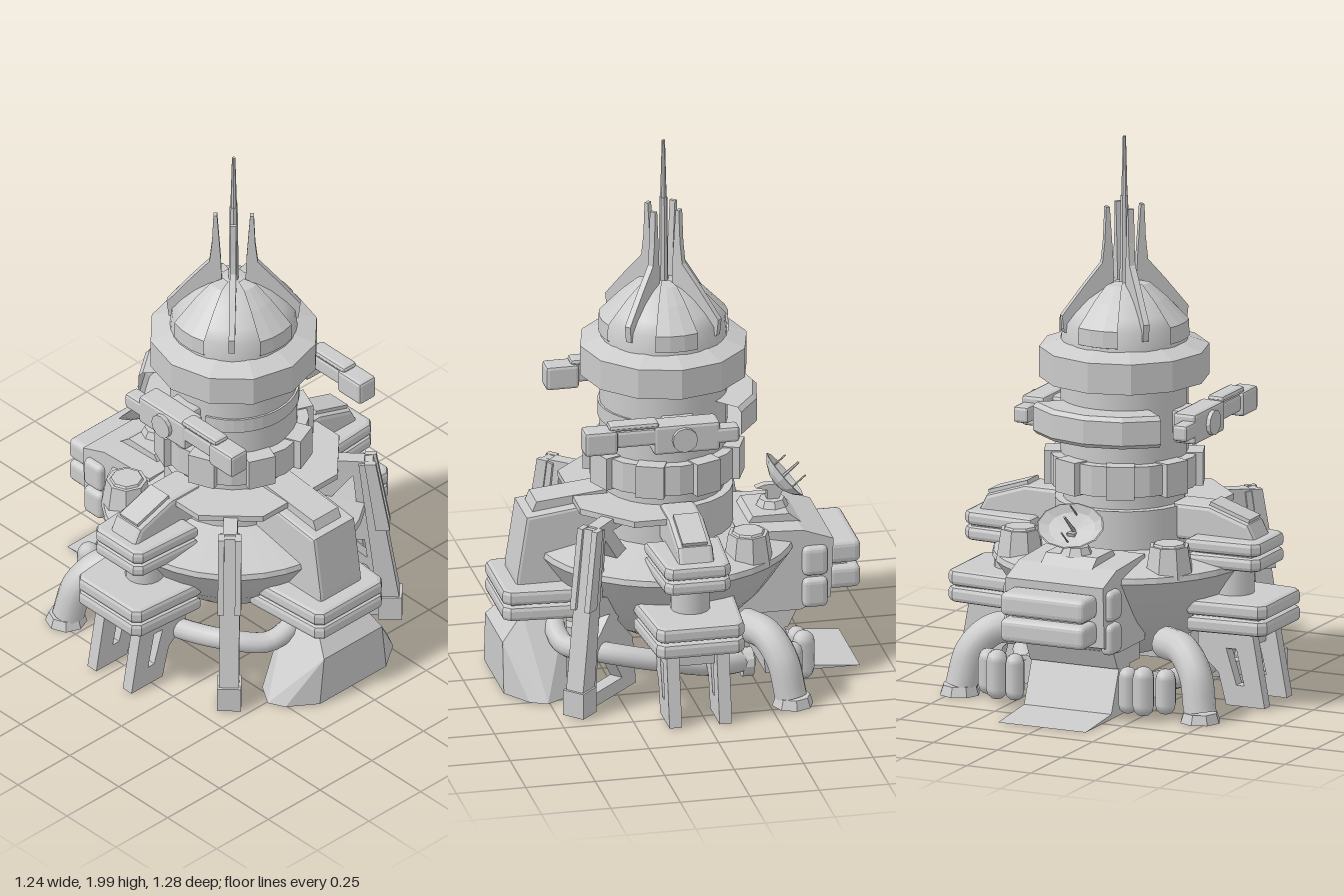
import * as THREE from 'three';
import { RoundedBoxGeometry } from 'three/addons/geometries/RoundedBoxGeometry.js';
import { ConvexGeometry } from 'three/addons/geometries/ConvexGeometry.js';

const flat = new THREE.MeshStandardMaterial({ color: 0xcccccc, flatShading: true, side: THREE.DoubleSide });
const smooth = new THREE.MeshStandardMaterial({ color: 0xcccccc, side: THREE.DoubleSide });
const AXIS_Z = 0.03;

function add(parent, name, geo, x = 0, y = 0, z = 0, mat = flat) {
  const m = new THREE.Mesh(geo, mat);
  m.name = name;
  m.position.set(x, y, z);
  parent.add(m);
  return m;
}
const box = (w, h, d) => new THREE.BoxGeometry(w, h, d);
const vecs = pts => pts.map(p => new THREE.Vector2(...p));
const lathe = (pts, n = 32, start = 0, len = Math.PI * 2) => new THREE.LatheGeometry(vecs(pts), n, start, len);

// Outline in the x-y plane, thickened evenly along z
function panel(pts, t, holes = [], bevel = 0) {
  const s = new THREE.Shape(vecs(pts));
  holes.forEach(h => s.holes.push(new THREE.Path(vecs(h))));
  const depth = t - 2 * bevel;
  return new THREE.ExtrudeGeometry(s, {
    depth, bevelEnabled: bevel > 0, bevelSize: bevel, bevelThickness: bevel, bevelOffset: -bevel, bevelSegments: 2,
  }).translate(0, 0, -depth / 2);
}

// Group whose +x points outward from the tower axis
function spoke(parent, name, angle) {
  const g = new THREE.Group();
  g.name = name;
  g.position.z = AXIS_Z;
  g.rotation.y = angle;
  parent.add(g);
  return g;
}

// Two stacked bevelled slabs with a tapering outline
function tray(parent, name, r0, r1, w, y0, y1) {
  const h = (y1 - y0) / 2, c = 0.025;
  const pts = [[r0, -w], [r1 - c, -w * 0.88], [r1, -w * 0.88 + c], [r1, w * 0.88 - c], [r1 - c, w * 0.88], [r0, w]];
  for (const i of [0, 1]) {
    const geo = panel(pts, h - 0.004, [], 0.016).rotateX(-Math.PI / 2);
    add(parent, name, geo, 0, y0 + h * (i + 0.5), 0);
  }
  add(parent, name + 'Seam', box(r1 - r0 - 0.06, 0.03, w * 1.55), (r0 + r1) / 2, (y0 + y1) / 2, 0);
}

function tube(parent, name, pts, r) {
  const curve = new THREE.CatmullRomCurve3(pts.map(p => new THREE.Vector3(...p)));
  add(parent, name, new THREE.TubeGeometry(curve, 28, r, 12), 0, 0, 0, smooth);
}

function buildTower(root) {
  const t = spoke(root, 'tower', 0);
  add(t, 'towerShaft', new THREE.CylinderGeometry(0.225, 0.225, 0.52, 28), 0, 1.01, 0, smooth);
  add(t, 'towerBase', new THREE.CylinderGeometry(0.215, 0.215, 0.07, 24), 0, 0.735, 0, smooth);
  add(t, 'towerPlinth', new THREE.CylinderGeometry(0.245, 0.245, 0.16, 24), 0, 0.62, 0, smooth);
  // Blocky lower ring
  add(t, 'lowerRing', new THREE.CylinderGeometry(0.265, 0.265, 0.11, 16), 0, 0.81, 0);
  for (let i = 0; i < 8; i++) {
    const a = (i + 0.5) * Math.PI / 4;
    add(t, 'ringBlock', box(0.1, 0.12, 0.06), Math.sin(a) * 0.25, 0.81, Math.cos(a) * 0.25).rotation.y = a;
  }
  // Twelve-sided upper collar
  add(t, 'upperCollar', lathe([[0.22, 1.12], [0.3, 1.135], [0.3, 1.245], [0.22, 1.275]], 12));
  add(t, 'frontBand', lathe([[0.22, 0.965], [0.232, 0.965], [0.232, 1.02], [0.22, 1.02]], 16, -1.2, 2.4));
  add(t, 'rearBand', lathe([[0.22, 0.945], [0.32, 0.945], [0.335, 0.96], [0.335, 1.045], [0.32, 1.06], [0.22, 1.06], [0.22, 0.945]], 4, Math.PI - 0.84, 1.68));
  // Dome with four raised petals
  const dome = [[0.225, 1.26], [0.218, 1.34], [0.185, 1.38], [0.135, 1.425], [0.085, 1.455], [0.045, 1.47], [0, 1.472]];
  add(t, 'dome', lathe(dome, 32), 0, 0, 0, smooth);
  const petal = [[0.215, 1.28], [0.23, 1.285], [0.228, 1.345], [0.15, 1.425], [0.09, 1.475], [0.04, 1.482]];
  for (let i = 0; i < 4; i++) {
    add(t, 'domePetal', lathe(petal, 3, i * Math.PI / 2 - 0.34, 0.68));
    // Diagonal fin ending in a spike
    const f = spoke(t, 'fin', Math.PI / 4 + i * Math.PI / 2);
    f.position.z = 0;
    add(f, 'finBlade', panel([[0.04, 1.42], [0.2, 1.3], [0.228, 1.31], [0.235, 1.37], [0.15, 1.475], [0.085, 1.55], [0.076, 1.63], [0.071, 1.75], [0.058, 1.75], [0.045, 1.56]], 0.022));
  }
  add(t, 'mast', new THREE.CylinderGeometry(0.014, 0.018, 0.33, 8), 0, 1.62, 0);
  add(t, 'mastTip', new THREE.CylinderGeometry(0.006, 0.012, 0.23, 8), 0, 1.885, 0);
  // Side guns
  for (const s of [1, -1]) {
    const g = new THREE.Group();
    g.name = 'sideGun';
    t.add(g);
    const part = (n, w, h, d, x, y, z) => add(g, n, new RoundedBoxGeometry(w, h, d, 1, 0.012), s * x, y, z);
    part('gunBody', 0.09, 0.11, 0.24, 0.295, 1.0, -0.01);
    part('gunBreech', 0.06, 0.06, 0.12, 0.31, 1.0, -0.14);
    part('gunBarrel', 0.055, 0.065, 0.16, 0.31, 1.015, 0.17);
    part('gunMuzzle', 0.08, 0.09, 0.12, 0.31, 1.01, 0.3);
    part('gunShroud', 0.065, 0.025, 0.18, 0.31, 1.06, 0.18);
    part('gunMount', 0.14, 0.09, 0.12, 0.25, 1.0, 0);
    add(g, 'gunPivot', new THREE.CylinderGeometry(0.045, 0.045, 0.05, 12).rotateZ(Math.PI / 2), s * 0.33, 1.0, 0);
  }
}

function buildHull(root) {
  const h = spoke(root, 'hull', 0);
  add(h, 'bowl', lathe([[0, 0.14], [0.12, 0.155], [0.25, 0.225], [0.35, 0.325], [0.42, 0.425], [0.465, 0.49]], 36), 0, 0, 0, smooth);
  add(h, 'deck', lathe([[0.465, 0.49], [0.46, 0.51], [0.22, 0.565]], 36));
  // Thin faceted plate joining the leg tops
  const plate = [[-0.34, 0.02], [-0.34, 0.18], [-0.18, 0.34], [0.18, 0.34], [0.34, 0.18], [0.34, 0.02]];
  add(h, 'topPlate', panel(plate, 0.022).rotateX(Math.PI / 2), 0, 0.69, 0);
  for (const s of [1, -1]) {
    add(h, 'deckVent', new THREE.CylinderGeometry(0.072, 0.09, 0.11, 8), s * 0.29, 0.55, -0.24);
    add(h, 'deckVentCap', new THREE.CylinderGeometry(0.055, 0.065, 0.015, 8), s * 0.29, 0.605, -0.24);
  }
}

function buildPods(root) {
  // Front pod
  const f = spoke(root, 'frontPod', -Math.PI / 2);
  tray(f, 'frontTray', 0.28, 0.61, 0.185, 0.28, 0.4);
  add(f, 'frontTower', panel([[0.2, 0.3], [0.555, 0.3], [0.55, 0.42], [0.515, 0.65], [0.2, 0.69]], 0.2, [], 0.012));
  add(f, 'frontCap', panel([[0.2, 0.66], [0.49, 0.64], [0.47, 0.69], [0.22, 0.715]], 0.12));
  const skirt = [];
  for (const s of [1, -1])
    skirt.push(...[[0.29, 0.015, 0.51], [0.26, 0.015, 0.57], [0.16, 0.015, 0.64], [0.24, 0.015, 0.43], [0.14, 0.2, 0.64], [0.1, 0.29, 0.56], [0.09, 0.29, 0.4]]
      .map(([x, y, z]) => new THREE.Vector3(s * x, y, z)));
  add(root, 'frontSkirt', new ConvexGeometry(skirt));
  // Side pods on twin struts
  for (const a of [0, Math.PI]) {
    const p = spoke(root, 'sidePod', a);
    tray(p, 'lowerTray', 0.33, 0.62, 0.18, 0.28, 0.4);
    tray(p, 'upperTray', 0.3, 0.575, 0.135, 0.5, 0.61);
    add(p, 'podColumn', new THREE.CylinderGeometry(0.07, 0.07, 0.14, 16), 0.43, 0.45, 0, smooth);
    add(p, 'podCap', panel([[0.22, 0.58], [0.55, 0.58], [0.51, 0.66], [0.36, 0.71], [0.22, 0.71]], 0.13, [], 0.015));
    add(p, 'podCapPanel', box(0.16, 0.02, 0.09), 0.43, 0.69, 0).rotation.z = -0.32;
    for (const z of [-0.09, 0.09])
      add(p, 'podStrut', panel([[0.34, 0.29], [0.55, 0.29], [0.6, 0.015], [0.45, 0.015], [0.42, 0.13], [0.34, 0.2]], 0.045,
        [[[0.45, 0.22], [0.49, 0.22], [0.52, 0.09], [0.49, 0.09]]]), 0, 0, z);
    add(p, 'strutBrace', box(0.16, 0.07, 0.2), 0.44, 0.25, 0);
  }
}

function buildLegs(root) {
  for (const a of [-Math.PI / 4, -3 * Math.PI / 4]) {
    const l = spoke(root, 'diagonalLeg', a);
    add(l, 'legTruss', panel([[0.2, 0.7], [0.46, 0.69], [0.55, 0.02], [0.22, 0.02], [0.24, 0.2], [0.34, 0.3], [0.2, 0.48]], 0.05,
      [[[0.23, 0.65], [0.37, 0.65], [0.24, 0.5]], [[0.42, 0.63], [0.3, 0.48], [0.38, 0.4], [0.44, 0.42]],
        [[0.39, 0.34], [0.46, 0.35], [0.47, 0.27]], [[0.31, 0.07], [0.48, 0.07], [0.47, 0.22], [0.42, 0.24]]]));
    add(l, 'legColumn', panel([[0.44, 0.68], [0.49, 0.69], [0.59, 0.06], [0.51, 0.06]], 0.07));
    add(l, 'legFoot', box(0.085, 0.095, 0.085), 0.55, 0.06, 0);
    for (const z of [-0.03, 0.03])
      add(l, 'legRail', panel([[0.46, 0.69], [0.5, 0.69], [0.55, 0.4], [0.5, 0.4]], 0.022), 0, 0, z);
  }
}

function buildPipes(root) {
  for (const s of [1, -1]) {
    // Slim feed pipe skirting the bowl
    tube(root, 'feedPipe', [[s * 0.08, 0.25, 0.44], [s * 0.13, 0.23, 0.45], [s * 0.21, 0.2, 0.43], [s * 0.31, 0.21, 0.34], [s * 0.36, 0.18, 0.15], [s * 0.34, 0.13, -0.08], [s * 0.25, 0.1, -0.22]], 0.038);
    add(root, 'feedPipeCollar', new THREE.CylinderGeometry(0.052, 0.052, 0.04, 12).rotateX(Math.PI / 2), s * 0.26, 0.1, -0.21);
    // Thick rear drain pipe
    tube(root, 'drainPipe', [[s * 0.27, 0.25, -0.2], [s * 0.37, 0.24, -0.26], [s * 0.435, 0.17, -0.3], [s * 0.465, 0.04, -0.325]], 0.058);
    add(root, 'drainFlange', new THREE.CylinderGeometry(0.062, 0.074, 0.035, 8), s * 0.468, 0.03, -0.33);
    // Storage tanks
    for (const [x, z, r, h] of [[0.285, -0.41, 0.04, 0.1], [0.345, -0.355, 0.038, 0.09], [0.22, -0.4, 0.035, 0.1]])
      add(root, 'tank', new THREE.CapsuleGeometry(r, h, 3, 8), s * x, 0.03 + r + h / 2, z, smooth);
  }
}

function buildDock(root) {
  // Side profiles run toward the rear, so local +x becomes -z
  const d = new THREE.Group();
  d.name = 'rearDock';
  d.rotation.y = Math.PI / 2;
  root.add(d);
  add(d, 'dockBody', panel([[0.2, 0.25], [0.42, 0.25], [0.53, 0.29], [0.54, 0.51], [0.43, 0.55], [0.2, 0.56]], 0.38));
  add(d, 'dockRoof', panel([[0.25, 0.55], [0.45, 0.54], [0.4, 0.58], [0.27, 0.58]], 0.2));
  add(d, 'dockKeel', panel([[0.2, 0.18], [0.38, 0.18], [0.42, 0.26], [0.2, 0.26]], 0.34));
  add(d, 'ramp', panel([[0.64, 0.01], [0.43, 0.028], [0.36, 0.2], [0.28, 0.2], [0.3, 0.01]], 0.34));
  for (const y of [0.345, 0.44])
    add(d, 'rearBumper', new RoundedBoxGeometry(0.12, 0.085, 0.33, 2, 0.022), 0.585, y, 0);
  add(d, 'bumperCore', box(0.08, 0.15, 0.27), 0.56, 0.39, 0);
  for (const s of [1, -1])
    for (const y of [0.315, 0.435])
      add(d, 'sidePad', new RoundedBoxGeometry(0.09, 0.11, 0.05, 2, 0.02), 0.472, y, s * 0.19);
  // Dish antenna tilted up and back
  add(d, 'dishBase', new THREE.CylinderGeometry(0.045, 0.06, 0.03, 8), 0.36, 0.59, 0);
  add(d, 'dishArm', panel([[0.34, 0.58], [0.37, 0.58], [0.41, 0.66], [0.33, 0.66], [0.3, 0.65], [0.34, 0.64]], 0.03));
  const dish = new THREE.Group();
  dish.name = 'dish';
  dish.position.set(0.37, 0.655, 0);
  dish.rotation.z = -0.86;
  d.add(dish);
  add(dish, 'dishBowl', lathe([[0, 0], [0.05, 0.008], [0.095, 0.025], [0.13, 0.05], [0.125, 0.052], [0.09, 0.033], [0, 0.01]], 12)).scale.x = 0.7;
  add(dish, 'dishFeed', new THREE.CylinderGeometry(0.004, 0.008, 0.11, 6), 0, 0.06, 0);
  for (const x of [-0.055, 0.055])
    add(dish, 'dishProbe', new THREE.CylinderGeometry(0.003, 0.003, 0.08, 6), x, 0.06, 0);
}

export function createModel() {
  const root = new THREE.Group();
  root.name = 'outpostTower';
  [buildTower, buildHull, buildPods, buildLegs, buildPipes, buildDock].forEach(build => build(root));
  return root;
}
